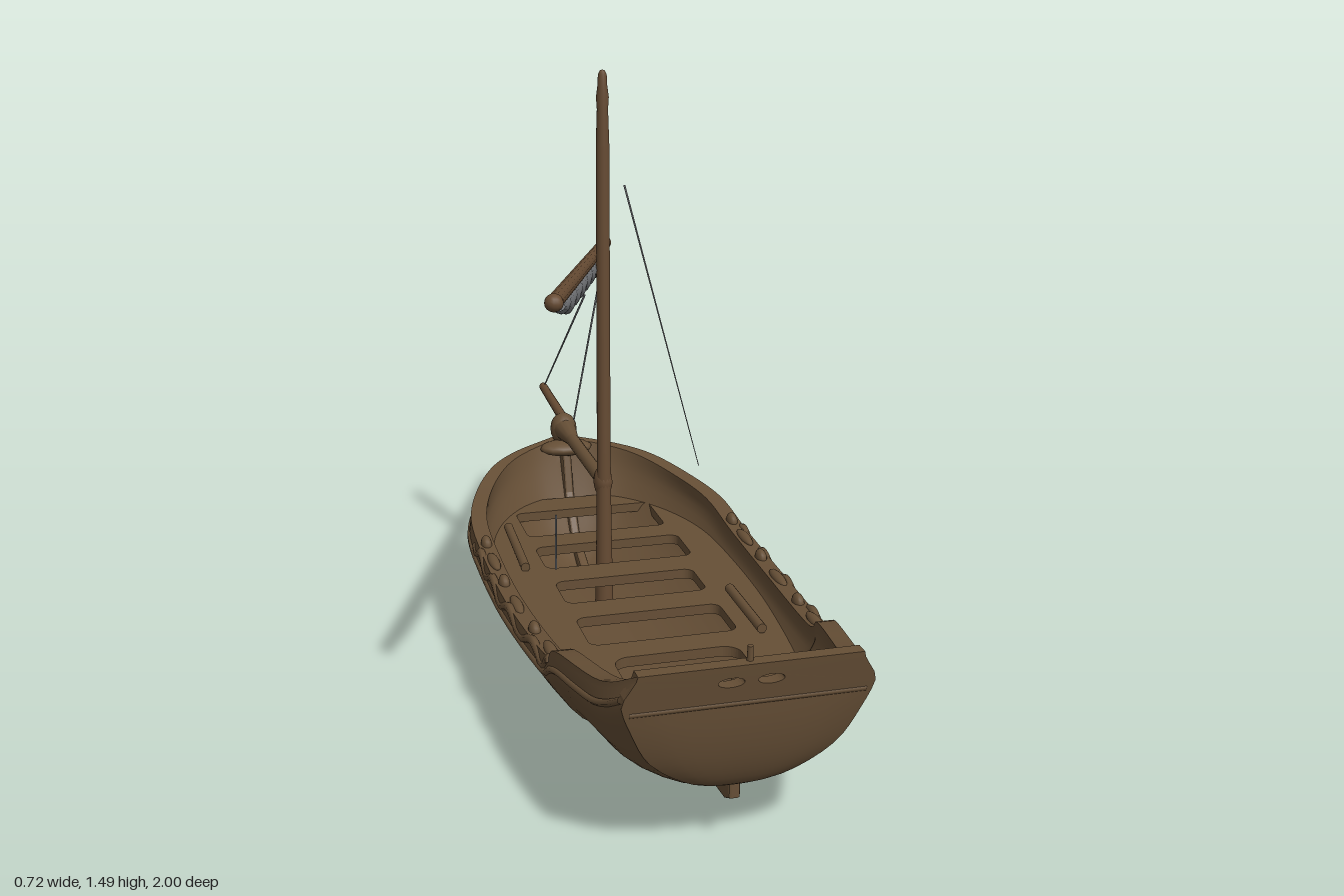
import * as THREE from 'three';
import { toCreasedNormals } from 'three/addons/utils/BufferGeometryUtils.js';

const V = (x, y, z) => new THREE.Vector3(x, y, z);
const paint = (name, color, side = THREE.FrontSide) => {
  const m = new THREE.MeshStandardMaterial({ color, side });
  m.name = name;
  return m;
};

// hull stations from stern to bow: bottom z, top z, half width, keel y, sheer y, tumblehome
const STATIONS = [
  [0.885, 0.995, 0.272, 0.14, 0.46, 0.87],
  [0.80, 0.86, 0.295, 0.105, 0.395, 0.95],
  [0.60, 0.62, 0.325, 0.085, 0.355, 0.985],
  [0.53, 0.54, 0.333, 0.08, 0.315, 0.985],
  [0.20, 0.20, 0.352, 0.055, 0.295, 0.985],
  [-0.10, -0.10, 0.355, 0.04, 0.30, 0.985],
  [-0.25, -0.30, 0.348, 0.035, 0.32, 0.985],
  [-0.34, -0.47, 0.302, 0.03, 0.335, 0.985],
  [-0.40, -0.60, 0.232, 0.025, 0.355, 0.985],
  [-0.43, -0.68, 0.148, 0.02, 0.367, 0.985],
  [-0.45, -0.74, 0.03, 0.02, 0.38, 0.985],
];
const LAST = STATIONS.length - 1;
const spline = new THREE.CubicInterpolant(STATIONS.map((s, i) => i), STATIONS.flat(), 6, new Float32Array(6));
const station = (u) => Array.from(spline.evaluate(Math.min(u, LAST)));

// half section, keel to sheer, as fractions of width and height
const section = new THREE.SplineCurve([[0, 0], [0.35, 0.07], [0.72, 0.3], [0.9, 0.58], [1, 0.82], [1, 1]]
  .map((p) => new THREE.Vector2(...p)));

// point on the hull at station u; inset gives the inner skin
function hullPoint(u, fx, fy, side, inset = 0) {
  const [zb, zt, w, keel, sheer, tumble] = station(u);
  const lean = 1 - (1 - tumble) * THREE.MathUtils.smoothstep(fy, 0.75, 1);
  const bottom = keel + inset;
  return V(side * fx * Math.max(w * lean - inset, 0.004), bottom + (sheer - bottom) * fy,
    zb + (zt - zb) * Math.sqrt(Math.max(fy, 0)));
}

function hullGeometry() {
  const ring = [];
  const add = (side, inset, list) => list.forEach((p) => ring.push([p.x, p.y, side, inset]));
  const up = section.getPoints(14), down = [...up].reverse();
  add(1, 0, down); add(-1, 0, up.slice(1));
  add(-1, 0.042, down); add(1, 0.042, up.slice(1));
  const steps = 60, n = ring.length, pos = [], idx = [];
  for (let i = 0; i <= steps; i++) {
    for (const r of ring) pos.push(...hullPoint((i / steps) * LAST, ...r).toArray());
  }
  for (let i = 0; i < steps; i++) {
    for (let j = 0; j < n; j++) {
      const a = i * n + j, b = i * n + (j + 1) % n;
      idx.push(a, b, a + n, b, b + n, a + n);
    }
  }
  const g = new THREE.BufferGeometry();
  g.setAttribute('position', new THREE.Float32BufferAttribute(pos, 3));
  g.setIndex(idx);
  return toCreasedNormals(g, 0.8);
}

// move every vertex of a geometry by a rule
function bend(geo, rule) {
  const p = geo.attributes.position, v = V(0, 0, 0);
  for (let i = 0; i < p.count; i++) {
    v.fromBufferAttribute(p, i);
    rule(v);
    p.setXYZ(i, v.x, v.y, v.z);
  }
  geo.computeVertexNormals();
  return geo;
}

// curved lower stern
function transomGeometry() {
  return bend(new THREE.BoxGeometry(2, 1, 0.03, 12, 14, 1), (v) => {
    const k = v.y + 0.5, p = section.getPoint(0.7 * k), q = hullPoint(0, p.x, p.y, 1);
    const bulge = 0.01 * (1 - v.x ** 4) * Math.sin(Math.PI * k);
    v.set(v.x * q.x, q.y, q.z + v.z - 0.013 + bulge);
  });
}

// upper stern board with two hand holes
function sternBoardGeometry() {
  const [zb, zt, , keel, sheer] = STATIONS[0];
  const edge = [0.7, 0.76, 0.82, 0.88, 0.94, 1].map((t) => section.getPoint(t)).map((p) => hullPoint(0, p.x, p.y, 1));
  const shape = new THREE.Shape([
    ...edge.map((p) => new THREE.Vector2(p.x, p.y)),
    ...edge.reverse().map((p) => new THREE.Vector2(-p.x, p.y))]);
  for (const s of [-1, 1]) {
    shape.holes.push(new THREE.Path().absellipse(s * 0.042, 0.421, 0.028, 0.011, 0, Math.PI * 2));
  }
  const g = new THREE.ExtrudeGeometry(shape, { depth: 0.032, bevelEnabled: false });
  return bend(g, (v) => { v.z += zb + (zt - zb) * Math.sqrt((v.y - keel) / (sheer - keel)) - 0.03; });
}

function roundedHole(x0, x1, z0, z1, r) {
  const p = new THREE.Path();
  const arc = (x, z, a) => p.absarc(x, -z, r, a, a + Math.PI / 2);
  arc(x1 - r, z0 + r, 0);
  arc(x0 + r, z0 + r, Math.PI / 2);
  arc(x0 + r, z1 - r, Math.PI);
  arc(x1 - r, z1 - r, Math.PI * 1.5);
  p.closePath();
  return p;
}

// benches and side decks: one plate set into the hull, with the wells cut out
function deckGeometry() {
  const right = [], left = [], fine = section.getPoints(80), y = 0.235;
  for (let i = 0; i <= 35; i++) {
    const u = 0.42 + i * 0.25, [, , , keel, sheer] = station(u);
    const fy = (y - 0.025 - keel) / (sheer - keel);
    const p = hullPoint(u, fine.find((q) => q.y >= fy).x, fy, 1);
    const x = Math.max(p.x - 0.018, 0.01);
    right.push(new THREE.Vector2(x, -p.z));
    left.unshift(new THREE.Vector2(-x, -p.z));
  }
  const shape = new THREE.Shape([...right, ...left]);
  shape.holes.push(
    roundedHole(-0.18, 0.2, -0.53, -0.35, 0.02), roundedHole(-0.18, 0.21, -0.27, -0.12, 0.025),
    roundedHole(-0.18, 0.18, -0.03, 0.11, 0.025), roundedHole(-0.18, 0.18, 0.2, 0.36, 0.025),
    roundedHole(-0.15, 0.15, 0.44, 0.79, 0.04));
  const g = new THREE.ExtrudeGeometry(shape, { depth: 0.025, bevelEnabled: false, curveSegments: 5 });
  return g.rotateX(-Math.PI / 2).translate(0, y - 0.025, 0);
}

function keelGeometry() {
  const outer = [[0.89, 0.11], [0.86, 0.095], [0.5, 0.065], [0, 0.02], [-0.28, 0.004], [-0.4, 0], [-0.48, 0.012],
    [-0.56, 0.05], [-0.64, 0.12], [-0.7, 0.22], [-0.735, 0.31], [-0.755, 0.39]];
  const inner = [[-0.69, 0.38], [-0.65, 0.24], [-0.57, 0.13], [-0.4, 0.06], [0, 0.065], [0.5, 0.1], [0.89, 0.15]];
  const shape = new THREE.Shape([...outer, ...inner].map(([z, y]) => new THREE.Vector2(-z, y)));
  const g = new THREE.ExtrudeGeometry(shape, { depth: 0.014, bevelSize: 0.005, bevelThickness: 0.006, bevelSegments: 2 });
  return g.translate(0, 0, -0.007).rotateY(Math.PI / 2);
}

export function createModel() {
  const boat = new THREE.Group();
  boat.name = 'sailingBoat';
  const wood = paint('hullWood', 0x664f36);
  const spar = paint('sparWood', 0x664b33);
  const cloth = paint('sailAndRope', 0x747679, THREE.DoubleSide);

  const add = (name, geo, mat, at) => {
    const m = new THREE.Mesh(geo, mat);
    m.name = name;
    if (at) m.position.copy(at);
    boat.add(m);
    return m;
  };
  const rod = (name, a, b, ra, rb, mat, sides = 12) => {
    const m = add(name, new THREE.CylinderGeometry(rb, ra, a.distanceTo(b), sides), mat, a.clone().lerp(b, 0.5));
    m.quaternion.setFromUnitVectors(V(0, 1, 0), b.clone().sub(a).normalize());
  };
  const tube = (name, pts, r, mat) =>
    add(name, new THREE.TubeGeometry(new THREE.CatmullRomCurve3(pts), pts.length * 3, r, 7), mat);
  const ball = (name, at, sx, sy, sz, mat) =>
    add(name, new THREE.SphereGeometry(1, 14, 10), mat, at).scale.set(sx, sy, sz);
  const lathe = (name, pts, mat, z) =>
    add(name, new THREE.LatheGeometry(pts.map((p) => new THREE.Vector2(...p)), 16), mat, V(0, 0, z));

  // hull
  add('hull', hullGeometry(), wood);
  add('transom', transomGeometry(), wood);
  add('sternBoard', sternBoardGeometry(), wood);
  add('keel', keelGeometry(), wood);
  add('benchDeck', deckGeometry(), wood);
  tube('transomLedge', [-0.25, -0.13, 0, 0.13, 0.25].map((x) => V(x, 0.37, 0.976)), 0.007, wood);
  rod('sternPin', V(0, 0.44, 0.975), V(0, 0.492, 0.978), 0.008, 0.006, wood);

  for (const s of [-1, 1]) {
    // rubbing strake, rail knobs and slung rope on each side
    const strake = [];
    for (let u = 0.1; u <= LAST; u += 0.45) strake.push(hullPoint(u, 1, 0.84, s));
    tube('rubbingStrake', strake, 0.008, wood);
    const swag = [];
    for (let i = 0; i <= 24; i++) {
      const p = hullPoint(2.6 + i * 0.12, 1, 0.93, s);
      swag.push(V(p.x - s * 0.003, p.y + 0.014 * Math.sin(i * 1.3), p.z));
    }
    tube('sideRope', swag, 0.011, wood);
    for (let i = 0; i < 6; i++) {
      const p = hullPoint(3.05 + i * 0.44, 0.94, 1, s);
      ball('railKnob', p, 0.014, 0.012 + 0.01 * (i % 2), i % 2 ? 0.025 : 0.055, wood);
    }
  }
  // stowed oars
  rod('oar', V(-0.225, 0.25, -0.4), V(-0.235, 0.245, -0.12), 0.012, 0.012, wood);
  rod('oar', V(0.225, 0.25, 0.15), V(0.225, 0.25, 0.4), 0.012, 0.012, wood);

  // hollow stern post
  lathe('sternPost', [[0, 0.13], [0.034, 0.13], [0.03, 0.3], [0.035, 0.32], [0.033, 0.335],
    [0.016, 0.335], [0.014, 0.29], [0, 0.29]], wood, 0.755);

  // mast with collar
  lathe('mast', [[0.024, 0.08], [0.02, 0.3], [0.018, 0.5], [0.017, 1.3], [0.014, 1.39], [0.016, 1.42],
    [0.012, 1.45], [0.011, 1.475], [0.006, 1.485], [0, 1.487]], spar, -0.235);
  ball('mastCollar', V(0, 0.415, -0.245), 0.025, 0.042, 0.03, spar);

  // bowsprit and stem head
  rod('bowspritBeam', V(0, 0.415, -0.235), V(0, 0.415, -0.72), 0.018, 0.018, wood);
  rod('bowspritSocket', V(0, 0.415, -0.6), V(0, 0.415, -0.71), 0.018, 0.034, wood);
  rod('bowsprit', V(0, 0.44, -0.7), V(0, 0.458, -0.99), 0.014, 0.012, spar);
  ball('bowspritTip', V(0, 0.458, -0.988), 0.012, 0.012, 0.012, spar);
  ball('stemHead', V(0, 0.412, -0.715), 0.038, 0.046, 0.042, wood);
  ball('breastHook', V(0, 0.365, -0.685), 0.075, 0.022, 0.045, wood);
  rod('stemHook', V(0, 0.41, -0.755), V(0, 0.36, -0.765), 0.008, 0.006, wood);

  // slanting yard
  const A = V(-0.32, 1.133, 0.65), B = V(0.13, 0.943, -0.74);
  rod('yard', A, B, 0.017, 0.016, spar);
  ball('yardEnd', A, 0.02, 0.019, 0.02, spar);
  ball('yardEnd', B, 0.018, 0.018, 0.018, spar);

  // furled sail with a scalloped lower edge
  const across = V(B.z - A.z, 0, A.x - B.x).normalize();
  const sail = bend(new THREE.PlaneGeometry(1, 1, 90, 12), (v) => {
    const t = v.x + 0.5, a = (v.y + 0.5) * Math.PI * 2;
    const fade = Math.min(1, t * 8, (1 - t) * 8);
    const drop = 0.02 + fade * (0.018 + 0.016 * Math.abs(Math.sin(t * Math.PI * 9)));
    const p = A.clone().lerp(B, 0.04 + t * 0.92).addScaledVector(across, 0.017 * Math.cos(a));
    v.set(p.x, p.y - 0.005 - drop * (0.5 - 0.5 * Math.sin(a)), p.z);
  });
  add('furledSail', sail, cloth);

  // rigging lines: start, end, end radii
  const ropes = [
    [V(0, 0.46, -0.98), V(0.085, 0.78, -0.8), 0.002, 0.003],
    [V(0.122, 0.94, -0.7), V(0.02, 0.45, -0.67), 0.003, 0.0025],
    [V(0.04, 1.21, -0.175), V(0.19, 0.52, -0.01), 0.0025, 0.001],
    [V(-0.288, 0.49, 0.49), V(-0.294, 0.63, 0.525), 0.0025, 0.002],
  ];
  for (const [a, b, ra, rb] of ropes) rod('riggingLine', a, b, ra, rb, cloth, 6);

  return boat;
}
